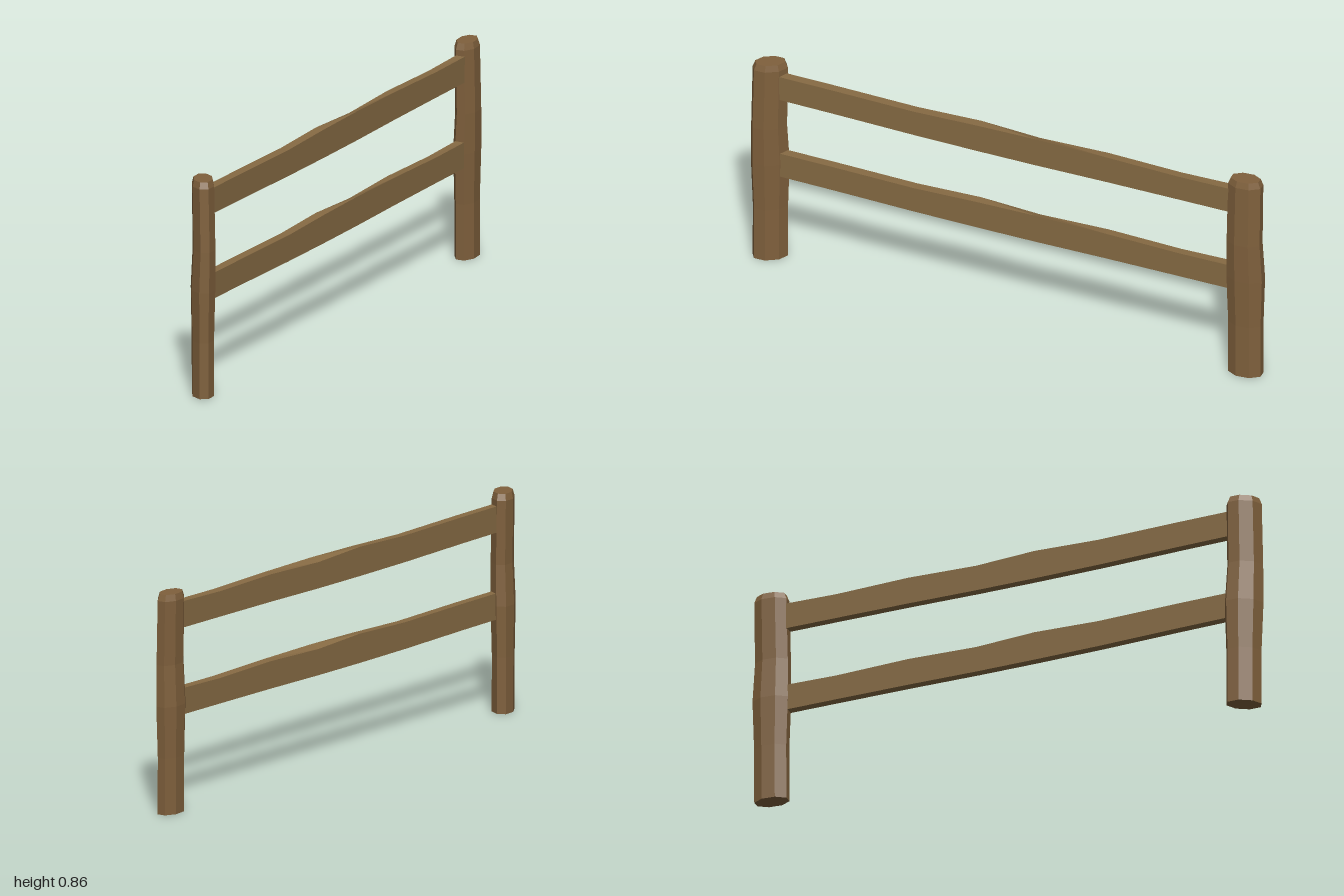
import * as THREE from 'three';

// Closed solid through a list of equal-sized rings of points, with flat end caps
function loft(rings) {
  const n = rings[0].length;
  const pos = rings.flat().flatMap((p) => [p.x, p.y, p.z]);
  const index = [];
  for (let r = 0; r < rings.length - 1; r++) {
    for (let i = 0; i < n; i++) {
      const a = r * n + i, b = r * n + ((i + 1) % n);
      index.push(a, a + n, b, b, a + n, b + n);
    }
  }
  const last = (rings.length - 1) * n;
  for (let i = 1; i < n - 1; i++) {
    index.push(0, i, i + 1);
    index.push(last, last + i + 1, last + i);
  }
  const geo = new THREE.BufferGeometry();
  geo.setAttribute('position', new THREE.Float32BufferAttribute(pos, 3));
  geo.setIndex(index);
  const flat = geo.toNonIndexed();
  flat.computeVertexNormals();
  return flat;
}

// Hewn post: oval octagon swept upward, each level [height, scale, x shift]
function postGeometry(angle) {
  const levels = [
    [0, 1, 0], [0.22, 1, -0.001], [0.42, 1.1, 0], [0.58, 1.02, 0.006],
    [0.83, 1, 0], [0.855, 0.85, 0],
  ];
  const c = Math.cos(angle), s = Math.sin(angle);
  return loft(levels.map(([y, k, dx]) =>
    Array.from({ length: 8 }, (_, i) => {
      const t = ((i + 0.5) * Math.PI) / 4;
      const u = 0.07 * k * Math.cos(t), v = 0.044 * k * Math.sin(t);
      return new THREE.Vector3(u * c - v * s + dx, y, u * s + v * c);
    })));
}

// Wavy plank: stations [t along rail, bottom, top on -x side, top on +x side]
function railGeometry(start, end) {
  const stations = [
    [0, 0.705, 0.808, 0.807], [0.12, 0.704, 0.803, 0.805],
    [0.28, 0.702, 0.809, 0.811], [0.43, 0.698, 0.8, 0.813],
    [0.56, 0.697, 0.811, 0.809], [0.7, 0.698, 0.802, 0.801],
    [0.88, 0.703, 0.806, 0.805], [1, 0.705, 0.807, 0.806],
  ];
  const dir = end.clone().sub(start).normalize();
  const side = new THREE.Vector3(dir.z, 0, -dir.x).multiplyScalar(0.018);
  return loft(stations.map(([t, low, topL, topR]) => {
    const p = start.clone().lerp(end, t);
    const at = (k, y) => new THREE.Vector3(p.x + side.x * k, y, p.z + side.z * k);
    return [at(-1, low), at(-1, topL), at(1, topR), at(1, low)];
  }));
}

export function createModel() {
  const model = new THREE.Group();
  model.name = 'fence';
  const postWood = new THREE.MeshStandardMaterial({ color: 0x7f603c, flatShading: true });
  const railWood = new THREE.MeshStandardMaterial({ color: 0x866a43, flatShading: true });

  // Posts at both ends, the same log turned differently
  const posts = [
    ['frontPost', 0.304, 0.946, 38],
    ['backPost', -0.324, -0.933, 66],
  ];
  for (const [name, x, z, degrees] of posts) {
    const post = new THREE.Mesh(postGeometry(THREE.MathUtils.degToRad(degrees)), postWood);
    post.name = name;
    post.position.set(x, 0, z);
    model.add(post);
  }

  // Two matching rails running diagonally between the posts
  const rail = railGeometry(new THREE.Vector3(-0.302, 0, -0.89), new THREE.Vector3(0.292, 0, 0.91));
  for (const [name, drop] of [['upperRail', 0], ['lowerRail', 0.338]]) {
    const mesh = new THREE.Mesh(rail, railWood);
    mesh.name = name;
    mesh.position.y = -drop;
    model.add(mesh);
  }
  return model;
}
